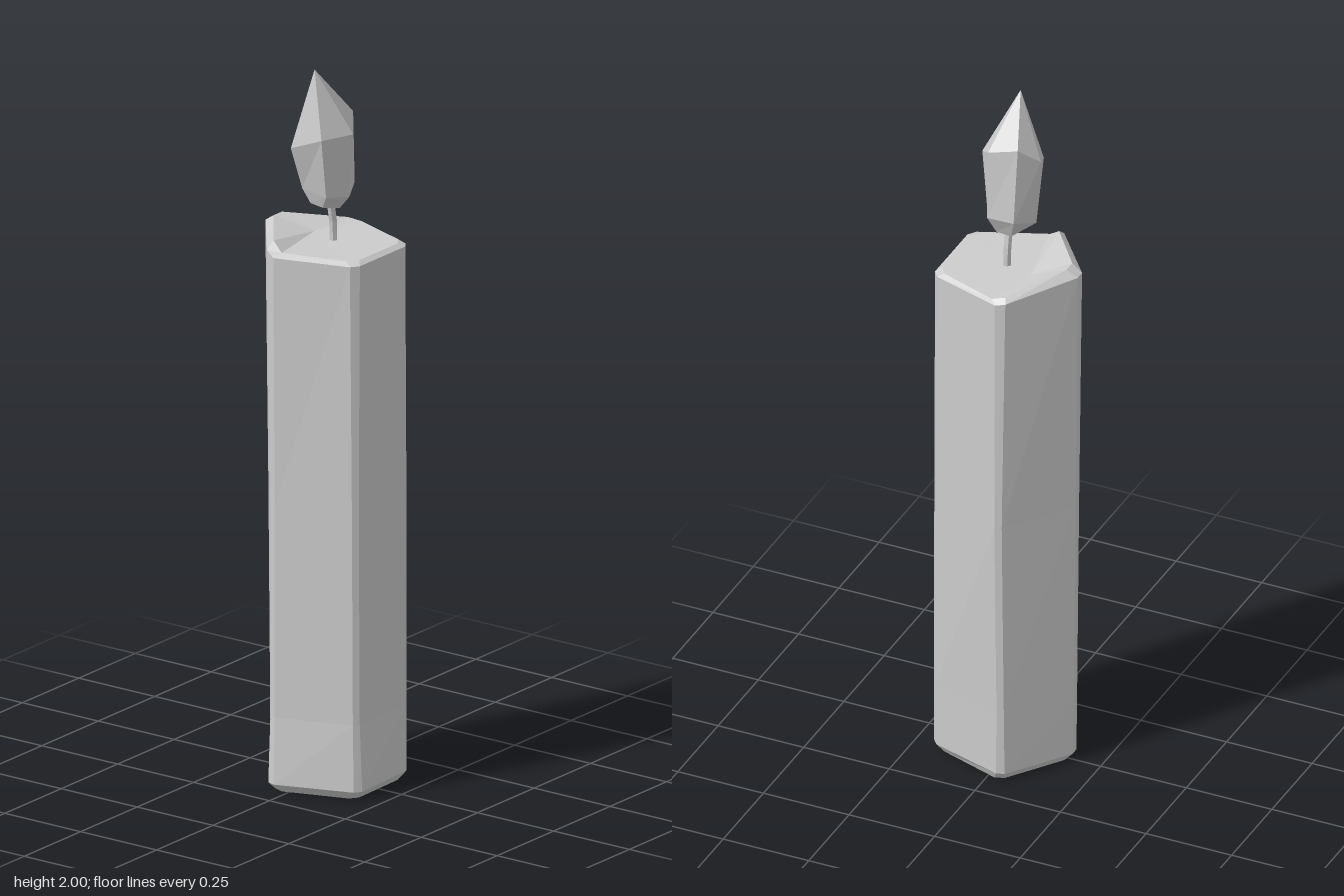
import * as THREE from 'three';

// Faceted solid from rings of [x, y, z] points, counter-clockwise seen from above.
function loft(rings, bottom, top) {
  const pos = [];
  const tri = (a, b, c) => pos.push(...a, ...b, ...c);
  const n = rings[0].length;
  for (let i = 0; i < n; i++) {
    const j = (i + 1) % n;
    tri(bottom, rings[0][j], rings[0][i]);
    for (let k = 0; k < rings.length - 1; k++) {
      const lo = rings[k], hi = rings[k + 1];
      tri(lo[i], lo[j], hi[j]);
      tri(lo[i], hi[j], hi[i]);
    }
    const last = rings[rings.length - 1];
    tri(top, last[i], last[j]);
  }
  const geo = new THREE.BufferGeometry();
  geo.setAttribute('position', new THREE.Float32BufferAttribute(pos, 3));
  geo.computeVertexNormals(); // unshared corners give flat facets
  return geo;
}

// Cuts each corner of a five-sided ring into two points; heights has one value per point.
function chamfer(corners, cut, heights) {
  const out = [];
  corners.forEach((c, i) => {
    for (const step of [4, 1]) {
      const o = corners[(i + step) % 5];
      const y = Array.isArray(heights) ? heights[out.length] : heights;
      out.push([c[0] + (o[0] - c[0]) * cut, y, c[1] + (o[1] - c[1]) * cut]);
    }
  });
  return out;
}

export function createModel() {
  const grey = new THREE.MeshStandardMaterial({ color: 0xcccccc });
  const model = new THREE.Group();
  model.name = 'candle';
  const add = (name, geo) => {
    const mesh = new THREE.Mesh(geo, grey);
    mesh.name = name;
    model.add(mesh);
  };

  // Wax body: irregular pentagon, corners are back, left, front left, front right, right
  const foot = [[0, -0.16], [-0.175, -0.035], [-0.105, 0.175], [0.105, 0.17], [0.175, -0.035]];
  const flare = [[0, -0.182], [-0.202, -0.04], [-0.119, 0.198], [0.118, 0.187], [0.19, -0.045]];
  const low = [[0, -0.184], [-0.192, -0.04], [-0.117, 0.19], [0.118, 0.187], [0.19, -0.045]];
  const middle = [[0, -0.19], [-0.192, -0.04], [-0.116, 0.186], [0.118, 0.186], [0.198, -0.042]];
  const upper = [[0, -0.2], [-0.2, -0.045], [-0.116, 0.186], [0.118, 0.186], [0.193, -0.045]];
  const rim = [[0, -0.172], [-0.178, -0.04], [-0.105, 0.172], [0.108, 0.172], [0.183, -0.035]];
  const edgeY = [1.52, 1.52, 1.51, 1.495, 1.49, 1.49, 1.49, 1.49, 1.49, 1.495];
  const rimY = [1.54, 1.54, 1.53, 1.505, 1.5, 1.5, 1.5, 1.5, 1.5, 1.507];
  add('waxBody', loft([
    chamfer(foot, 0.08, 0),
    chamfer(flare, 0.06, 0.025),
    chamfer(low, 0.05, 0.21),
    chamfer(middle, 0.05, 0.8),
    chamfer(upper, 0.07, edgeY),
    chamfer(rim, 0.1, rimY),
  ], [0, 0, 0], [0.03, 1.503, -0.06]));

  // Wick, bending towards the flame
  const bend = new THREE.CatmullRomCurve3([
    new THREE.Vector3(0.006, 1.48, 0.02),
    new THREE.Vector3(0.004, 1.56, 0.02),
    new THREE.Vector3(-0.012, 1.63, 0.02),
  ]);
  add('wick', new THREE.TubeGeometry(bend, 4, 0.011, 6).toNonIndexed());
  model.children[1].geometry.computeVertexNormals();

  // Flame: faceted teardrop leaning to one side
  const base = [[-0.02, 1.61, -0.015], [-0.068, 1.62, 0.0], [-0.068, 1.615, 0.04],
    [-0.02, 1.605, 0.06], [0.02, 1.605, 0.045], [0.025, 1.605, 0]];
  const lower = [[-0.015, 1.64, -0.055], [-0.078, 1.66, -0.02], [-0.08, 1.65, 0.06],
    [-0.015, 1.64, 0.088], [0.047, 1.66, 0.06], [0.052, 1.665, -0.02]];
  const belly = [[-0.02, 1.83, -0.066], [-0.115, 1.78, -0.03], [-0.114, 1.82, 0.07],
    [-0.02, 1.82, 0.105], [0.04, 1.86, 0.06], [0.037, 1.885, -0.025]];
  add('flame', loft([base, lower, belly], [-0.01, 1.6, 0.02], [-0.077, 2, 0.02]));

  return model;
}
